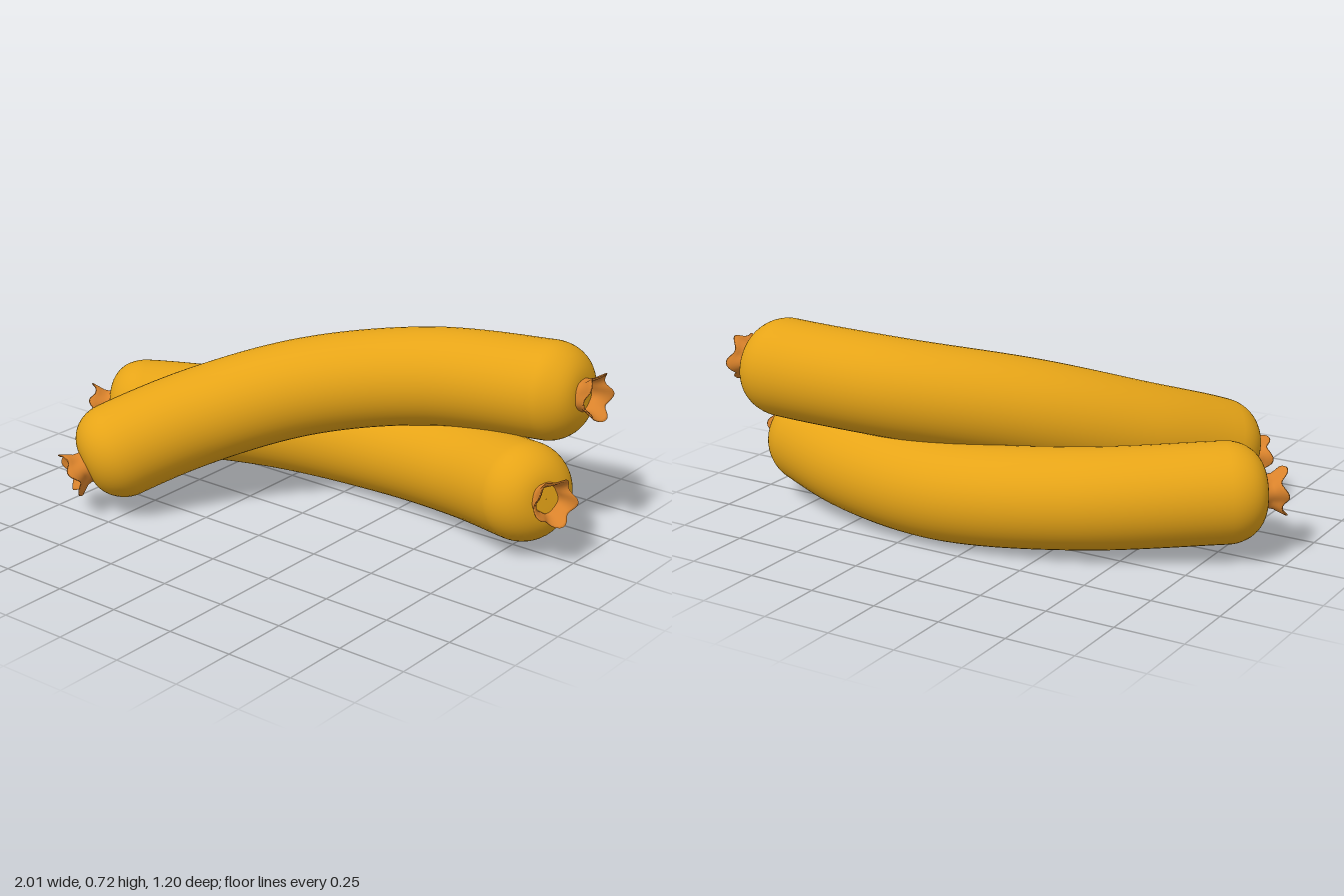
import * as THREE from 'three';

const skin = new THREE.MeshStandardMaterial({ color: 0xe6a417, side: THREE.DoubleSide });
const casing = new THREE.MeshStandardMaterial({ color: 0xd9822b, side: THREE.DoubleSide });
const R = 0.178;

// Smooth closed-loop grid: ringPoint(row, angle) gives each vertex
function loft(rows, sides, ringPoint) {
  const pos = [], idx = [];
  for (let i = 0; i < rows; i++) {
    for (let j = 0; j < sides; j++) pos.push(...ringPoint(i, (j / sides) * Math.PI * 2).toArray());
  }
  for (let i = 0; i < rows - 1; i++) {
    for (let j = 0; j < sides; j++) {
      const a = i * sides + j, b = i * sides + (j + 1) % sides;
      idx.push(a, b, a + sides, b, b + sides, a + sides);
    }
  }
  const g = new THREE.BufferGeometry();
  g.setAttribute('position', new THREE.Float32BufferAttribute(pos, 3));
  g.setIndex(idx);
  g.computeVertexNormals();
  return g;
}

// Curved sausage body with blunt rounded ends
function bodyGeometry(curve) {
  const len = curve.getLength(), cap = 0.135, capRows = 14, midRows = 40;
  const stations = [[0, 0.001]];
  const end = (k) => {
    const a = (k / capRows) * Math.PI / 2;
    return [cap * (1 - Math.cos(a)) / len, R * (0.27 + 0.73 * Math.sin(a))];
  };
  for (let k = 0; k <= capRows; k++) stations.push(end(k));
  const u0 = cap / len;
  for (let k = 1; k < midRows; k++) stations.push([u0 + (1 - 2 * u0) * k / midRows, R]);
  for (let k = capRows; k >= 0; k--) {
    const [u, r] = end(k);
    stations.push([1 - u, r]);
  }
  stations.push([1, 0.001]);
  const frames = stations.map(([u, r]) => {
    const t = curve.getTangentAt(u);
    const side = new THREE.Vector3(0, 1, 0).cross(t).normalize();
    return { p: curve.getPointAt(u), side, up: t.clone().cross(side), r };
  });
  return loft(frames.length, 48, (i, a) => {
    const f = frames[i];
    return f.p.clone().addScaledVector(f.side, Math.cos(a) * f.r).addScaledVector(f.up, Math.sin(a) * f.r);
  });
}

// Crimped, five-lobed casing end: outer wall, wavy rim, inner wall; opens along +z
function crimpGeometry() {
  // radius, height, radial wave, height wave
  const profile = [
    [0.064, -0.025, 0, 0], [0.058, 0.005, 0.03, 0], [0.06, 0.022, 0.07, 0.002],
    [0.072, 0.042, 0.1, 0.007], [0.081, 0.056, 0.1, 0.012], [0.08, 0.061, 0.1, 0.012],
    [0.073, 0.056, 0.1, 0.011], [0.061, 0.038, 0.08, 0.006], [0.052, 0.018, 0.06, 0.002],
    [0.048, -0.01, 0.03, 0],
  ];
  return loft(profile.length, 50, (i, a) => {
    const [r, h, wr, wh] = profile[i];
    const lobe = Math.cos(5 * a), ruffle = Math.sin(5 * a + 0.6) + 0.3 * Math.sin(2 * a);
    const rad = r * (1 + wr * lobe);
    return new THREE.Vector3(Math.cos(a) * rad, Math.sin(a) * rad, h + wh * ruffle);
  });
}

function makeSausage(name, points, startDir, endDir) {
  const group = new THREE.Group();
  group.name = name;
  const curve = new THREE.CatmullRomCurve3(points.map((p) => new THREE.Vector3(...p)));
  curve.arcLengthDivisions = 400;
  const body = new THREE.Mesh(bodyGeometry(curve), skin);
  body.name = 'sausageBody';
  group.add(body);
  // Crimped casing at both tips
  [[0, startDir, 'leftCrimp', 0.4], [1, endDir, 'rightCrimp', 1.1]].forEach(([u, dir, label, spin]) => {
    const crimp = new THREE.Mesh(crimpGeometry(), casing);
    crimp.name = label;
    crimp.position.copy(curve.getPointAt(u));
    crimp.quaternion.setFromUnitVectors(new THREE.Vector3(0, 0, 1), new THREE.Vector3(...dir).normalize());
    crimp.rotateZ(spin);
    group.add(crimp);
  });
  return group;
}

export function createModel() {
  const model = new THREE.Group();
  model.name = 'sausagePair';
  model.add(
    makeSausage('lowerSausage', [
      [-0.885, 0.23, 0.07], [-0.77, 0.23, -0.02], [-0.34, 0.203, -0.26],
      [0.13, 0.18, -0.37], [0.5, 0.195, -0.335], [0.78, 0.222, -0.243], [0.915, 0.242, -0.19],
    ], [-0.8, 0, 0.6], [0.9, 0.12, 0.4]),
    makeSausage('upperSausage', [
      [-0.612, 0.187, 0.492], [-0.53, 0.247, 0.37], [-0.36, 0.34, 0.13],
      [-0.07, 0.445, -0.13], [0.33, 0.512, -0.345], [0.78, 0.542, -0.418], [0.908, 0.553, -0.42],
    ], [-0.5, -0.36, 0.78], [1, 0.08, 0]),
  );
  return model;
}
